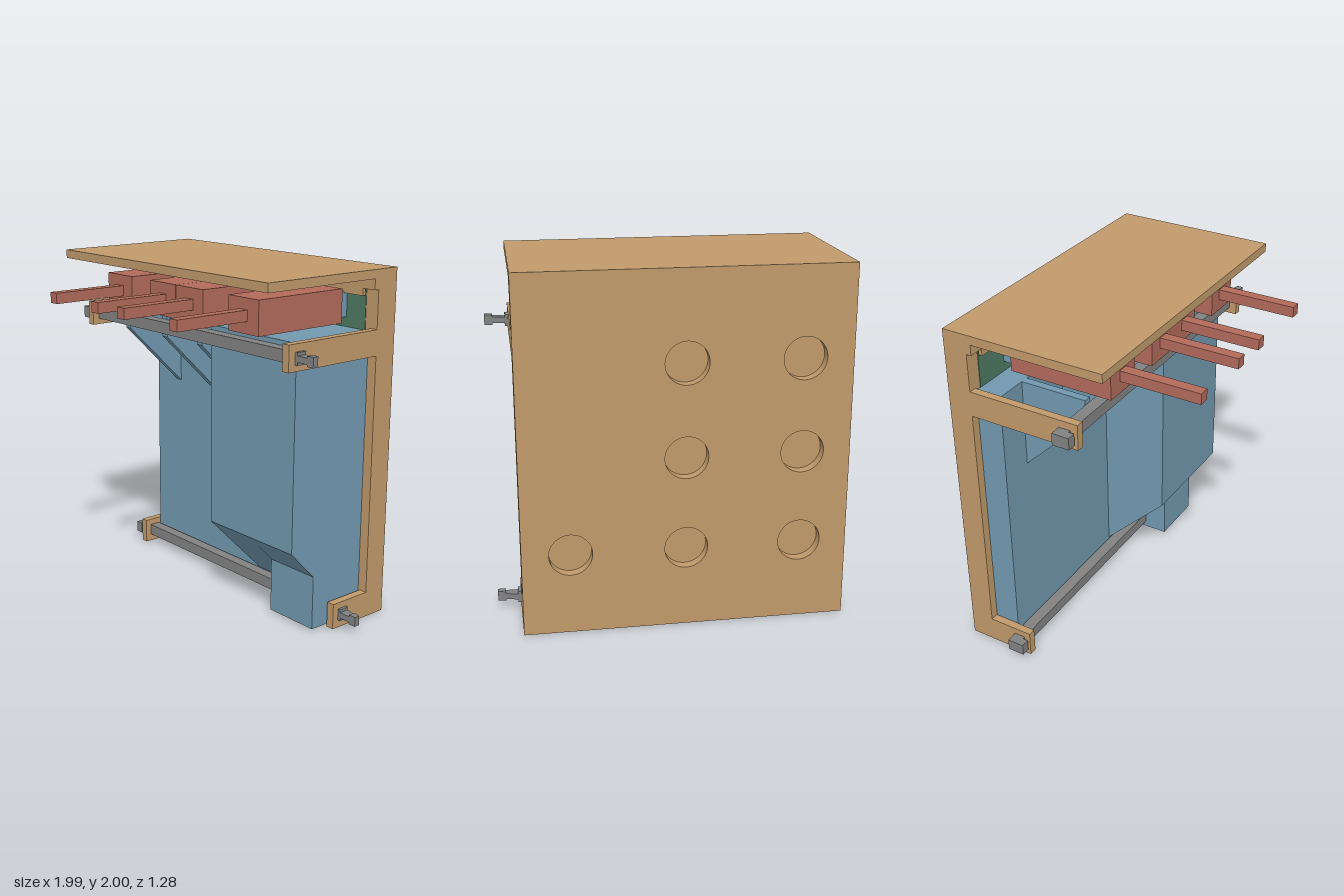
import * as THREE from 'three';

const mat = (name, color) => {
  const m = new THREE.MeshStandardMaterial({ color });
  m.name = name;
  return m;
};

export function createModel() {
  const wood = mat('tan', 0xc19a6b);
  const blue = mat('blue', 0x7299b0);
  const red = mat('red', 0xb26b5b);
  const grey = mat('grey', 0x828282);
  const green = mat('green', 0x4f7a63);
  const model = new THREE.Group();
  model.name = 'wallCabinet';

  const add = (name, geometry, material) => {
    const mesh = new THREE.Mesh(geometry, material);
    mesh.name = name;
    model.add(mesh);
    return mesh;
  };
  // Box given by its extents
  const box = (name, material, x0, x1, y0, y1, z0, z1) => {
    const g = new THREE.BoxGeometry(x1 - x0, y1 - y0, z1 - z0);
    g.translate((x0 + x1) / 2, (y0 + y1) / 2, (z0 + z1) / 2);
    return add(name, g, material);
  };
  const shapeOf = (points) => new THREE.Shape(points.map(([a, b]) => new THREE.Vector2(a, b)));
  // Side profile of [z, y] points, extruded from x0 to x1
  const slab = (name, material, x0, x1, points) => {
    const g = new THREE.ExtrudeGeometry(shapeOf(points), { depth: x1 - x0, bevelEnabled: false });
    g.rotateY(-Math.PI / 2).translate(x1, 0, 0);
    return add(name, g, material);
  };

  // Back plate: solid front layer and a rear layer with round recesses
  const L = -0.93, R = 0.86;
  box('backPlateFront', wood, L, R, 0, 2, -0.58, -0.5);
  const rear = shapeOf([[L, 0], [R, 0], [R, 2], [L, 2]]);
  const recesses = [[0.595, 0.46]];
  for (const y of [0.46, 0.98, 1.5]) recesses.push([-0.035, y], [-0.665, y]);
  for (const [x, y] of recesses) {
    rear.holes.push(new THREE.Path().absarc(x, y, 0.118, 0, Math.PI * 2, true));
  }
  const rearGeometry = new THREE.ExtrudeGeometry(rear, { depth: 0.06, bevelEnabled: false, curveSegments: 24 });
  add('backPlateRear', rearGeometry.translate(0, 0, -0.64), wood);

  // Top shelf, with the lip that holds the board
  box('topShelf', wood, L, R, 1.95, 2, -0.5, 0.3);
  box('shelfLedge', wood, L, R, 1.89, 1.95, -0.5, -0.47);
  box('boardLip', wood, -0.845, 0.775, 1.85, 1.89, -0.49, -0.47);
  box('board', green, -0.845, 0.775, 1.53, 1.89, -0.51, -0.497);

  // Side arms
  for (const [x0, x1] of [[L, -0.885], [0.813, R]]) {
    box('lowerArm', wood, x0, x1, 0, 0.15, -0.5, -0.235);
    box('upperArm', wood, x0, x1, 1.53, 1.675, -0.5, 0.15);
  }

  // Locking bars with a hooked head and a tapered, notched tip
  for (const [y, z] of [[0.045, -0.34], [1.565, 0.04]]) {
    box('lockingBar', grey, L, R, y, y + 0.068, z, z + 0.068);
    box('barNeck', grey, -0.945, L, y, y + 0.068, z, z + 0.068);
    box('barHead', grey, -0.995, -0.945, y, y + 0.068, z, z + 0.1);
    const h = [[0.855, 0.034], [0.877, 0.034], [0.877, 0.017], [0.945, 0.017], [0.945, 0.028], [0.99, 0.028]];
    const outline = [...h.map(([x, d]) => [x, -d]), ...h.map(([x, d]) => [x, d]).reverse()];
    const tip = new THREE.ExtrudeGeometry(shapeOf(outline), { depth: 0.066, bevelEnabled: false });
    const p = tip.attributes.position;
    for (let i = 0; i < p.count; i++) {
      if (p.getZ(i) < 0.01) p.setZ(i, (p.getX(i) - 0.855) * 0.24);
    }
    tip.computeVertexNormals();
    add('barTip', tip.translate(0, y + 0.034, z), grey);
  }

  // Hollow cover, open at the bottom: shallow section
  const t = 0.025, top = 1.66, back = -0.5, mid = -0.35, front = 0.04;
  box('coverShallowPanel', blue, -0.88, 0.12, 0.01, top, mid - t, mid);
  box('coverLowerPanel', blue, 0.12, 0.46, 0.01, 0.13, mid - t, mid);
  box('coverRightWall', blue, -0.88, -0.88 + t, 0.01, top, back, mid - t);
  box('coverShallowLid', blue, -0.88 + t, 0.12, top - t, top, back, mid - t);

  // Deep section with sloping underside
  box('coverDeepPanel', blue, 0.12, 0.8, 0.5, top, front - t, front);
  box('coverDeepLid', blue, 0.12, 0.8 - t, top - t, top, back, front - t);
  slab('coverInnerWall', blue, 0.12, 0.12 + t,
    [[mid, 0.11], [front - t, 0.475], [front - t, top - t], [mid, top - t]]);
  slab('coverLeftWall', blue, 0.8 - t, 0.8,
    [[back, 0.01], [-0.13, 0.01], [-0.13, 0.325], [front - t, 0.475], [front - t, top], [back, top]]);
  slab('coverSlopeLong', blue, 0.12, 0.46,
    [[mid, 0.11], [front, 0.5], [front - t, 0.51], [mid, 0.145]]);
  slab('coverSlopeShort', blue, 0.46, 0.8,
    [[-0.13, 0.325], [front, 0.5], [front - t, 0.51], [-0.155, 0.335]]);

  // Corner compartment below the slope
  box('cornerPanel', blue, 0.46, 0.8, 0.01, 0.325, -0.13 - t, -0.13);
  slab('cornerWall', blue, 0.46, 0.46 + t,
    [[mid - t, 0.01], [-0.13 - t, 0.01], [-0.13 - t, 0.31], [mid - t, 0.1]]);

  // Triangular fins on the shallow section
  for (const x of [-0.667, -0.303, 0.017]) {
    slab('fin', blue, x - 0.0225, x + 0.0225,
      [[mid, 1.15], [front, 1.53], [front, top], [mid, top]]);
  }

  // Plug blocks with long pins and rear connectors
  for (const x of [-0.548, -0.138, 0.1, 0.546]) {
    box('plugBlock', red, x - 0.118, x + 0.118, 1.69, 1.88, -0.43, 0.18);
    box('plugPin', red, x - 0.031, x + 0.031, 1.757, 1.818, 0.18, 0.64);
    box('connector', blue, x - 0.09, x + 0.09, 1.715, 1.86, -0.5, -0.43);
  }
  return model;
}
